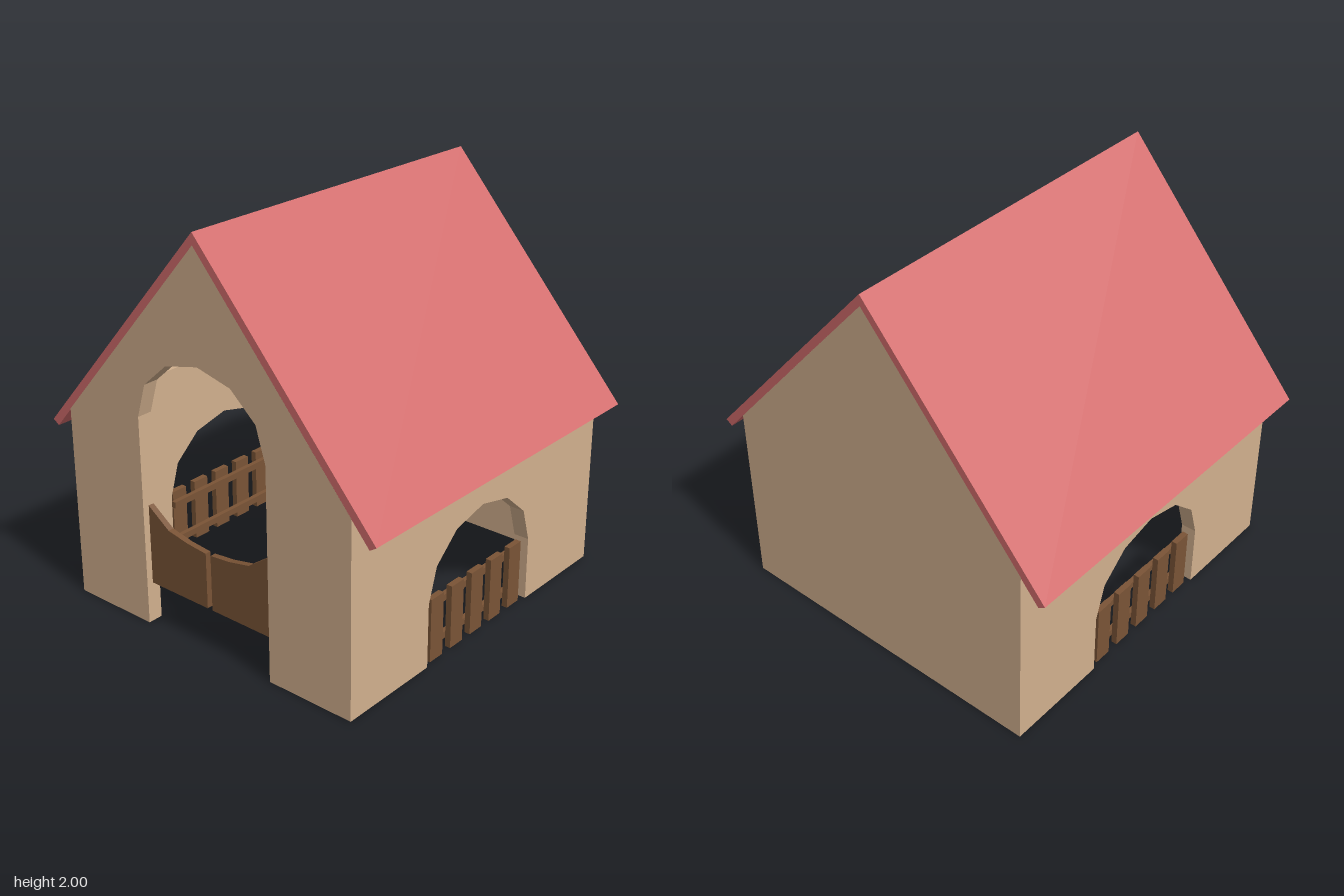
import * as THREE from 'three';

const mat = (name, color) => {
  const m = new THREE.MeshStandardMaterial({ color });
  m.name = name;
  return m;
};

const HALF_X = 0.85, HALF_Z = 0.935, WALL = 0.078;
const RIDGE_IN = 1.943, EAVE_IN = 0.975;   // underside of the roof at the ridge and at the walls

// Extrude an outline of [x, y] points, centred on z = 0
function slab(points, depth) {
  const shape = new THREE.Shape(points.map(([x, y]) => new THREE.Vector2(x, y)));
  const geo = new THREE.ExtrudeGeometry(shape, { depth, bevelEnabled: false });
  return geo.translate(0, 0, -depth / 2);
}

// Faceted arch from the left foot over the top to the right foot
function arch(halfWidth, spring, rise) {
  const pts = [[-halfWidth, 0]];
  for (let i = 0; i <= 6; i++) {
    const a = Math.PI * (1 - i / 6);
    pts.push([halfWidth * Math.cos(a), spring + rise * Math.sin(a)]);
  }
  pts.push([halfWidth, 0]);
  return pts;
}

export function createModel() {
  const house = new THREE.Group();
  house.name = 'playhouse';
  const wall = mat('tan wall', 0xd2b08e);
  const roofRed = mat('roof red', 0xd26c6c);
  const wood = mat('brown wood', 0x7a5436);

  const add = (parent, name, geo, material, x = 0, y = 0, z = 0) => {
    const mesh = new THREE.Mesh(geo, material);
    mesh.name = name;
    mesh.position.set(x, y, z);
    parent.add(mesh);
    return mesh;
  };

  // Gable walls: the front one has the doorway, the back one is closed
  const gable = [[HALF_X, 0], [HALF_X, EAVE_IN], [0, RIDGE_IN], [-HALF_X, EAVE_IN], [-HALF_X, 0]];
  const gableZ = HALF_Z - WALL / 2;
  add(house, 'frontWall', slab([...gable, ...arch(0.385, 1.065, 0.34)], WALL), wall, 0, 0, gableZ);
  add(house, 'backWall', slab(gable, WALL), wall, 0, 0, -gableZ);

  // Roof: one folded sheet over both gables
  const roof = [[0, 2], [-0.98, 0.885], [-0.945, 0.862], [0, RIDGE_IN], [0.945, 0.862], [0.98, 0.885]];
  add(house, 'roof', slab(roof, 2 * HALF_Z), roofRed);

  // Side walls with arched openings, their tops tucked into the roof
  const inner = HALF_Z - WALL;
  const side = [[inner, 0], [inner, 1.01], [-inner, 1.01], [-inner, 0], ...arch(0.395, 0.325, 0.345)];

  // Door leaf outline, from the hinge to the middle
  const leaf = [[0.015, 0.21], [0.375, 0.21], [0.375, 0.615], [0.25, 0.527], [0.13, 0.503], [0.015, 0.492]];

  for (const s of [1, -1]) {
    const label = s > 0 ? 'left' : 'right';
    const sideWall = add(house, label + 'Wall', slab(side, WALL), wall, s * (HALF_X - WALL / 2));
    sideWall.rotation.y = Math.PI / 2;

    const points = leaf.map(([x, y]) => [s * x, y]);
    add(house, label + 'Door', slab(points, 0.03), wood, 0, 0, HALF_Z - 0.04);

    // Picket fence across the side opening, rails on the inside
    const fence = new THREE.Group();
    fence.name = label + 'Fence';
    house.add(fence);
    for (let i = -2; i <= 2; i++) {
      add(fence, 'picket', new THREE.BoxGeometry(0.03, 0.325, 0.093), wood, s * 0.82, 0.1625, i * 0.154);
    }
    for (const y of [0.062, 0.262]) {
      add(fence, 'rail', new THREE.BoxGeometry(0.025, 0.034, 0.73), wood, s * 0.7925, y, 0);
    }
  }
  return house;
}
